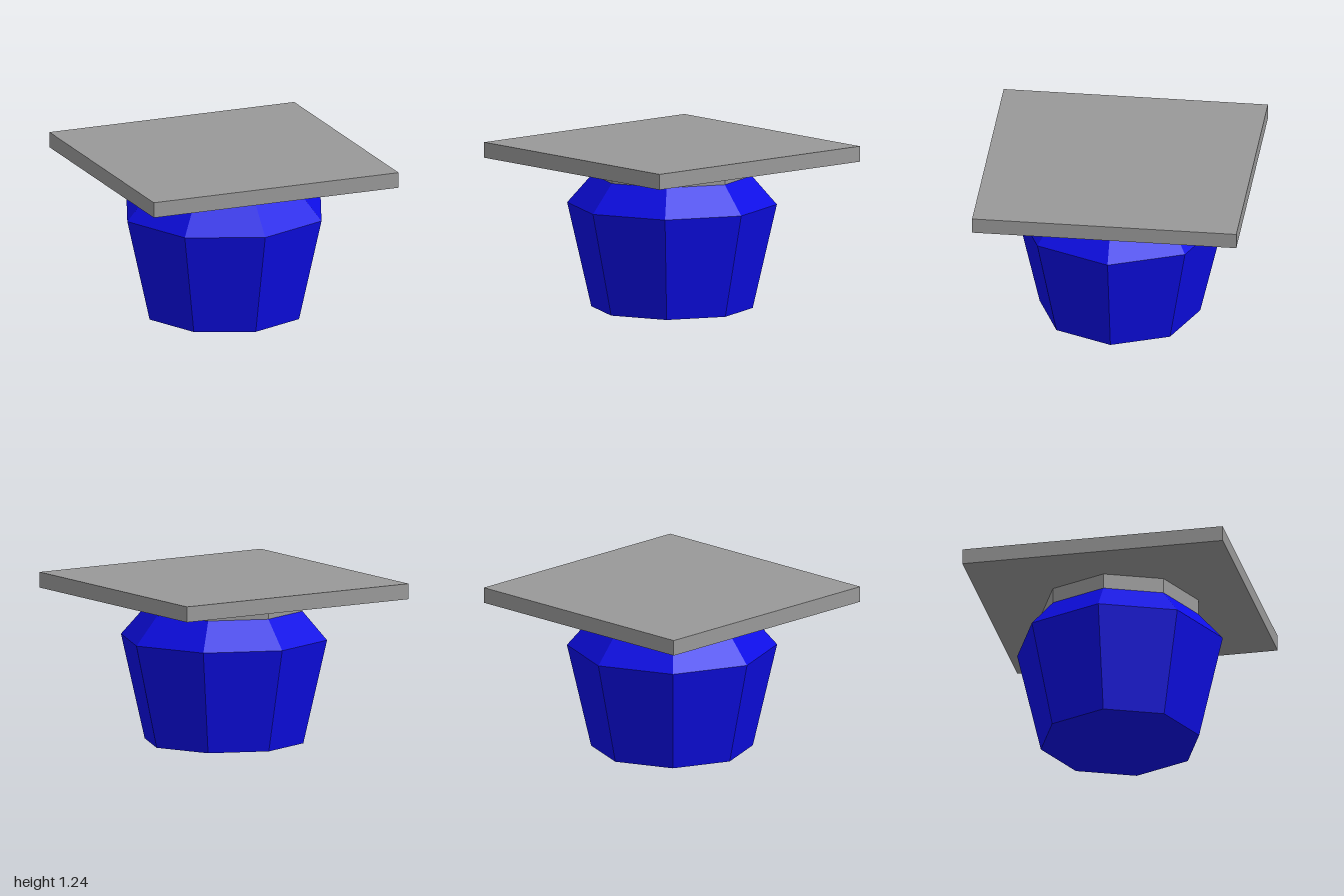
import * as THREE from 'three';

export function createModel() {
  const model = new THREE.Group();
  const blue = new THREE.MeshStandardMaterial({ color: 0x0e0ef0 });
  blue.name = 'blue glaze';
  const grey = new THREE.MeshStandardMaterial({ color: 0x999999 });
  grey.name = 'grey stone';

  const add = (name, geometry, material, y) => {
    const flat = geometry.index ? geometry.toNonIndexed() : geometry;
    flat.computeVertexNormals(); // crisp facets
    const mesh = new THREE.Mesh(flat, material);
    mesh.name = name;
    mesh.position.y = y;
    model.add(mesh);
  };

  // Octagonal ring section between two heights, with corners on the axes
  const section = (name, rBottom, rTop, y0, y1, material, open = false) =>
    add(name, new THREE.CylinderGeometry(rTop, rBottom, y1 - y0, 8, 1, open), material, (y0 + y1) / 2);

  // Pot body: closed base, tapering walls, sloping shoulder
  const profile = [[0, 0], [0.608, 0], [0.79, 0.79], [0.602, 1.005]];
  add('potBody', new THREE.LatheGeometry(profile.map(([r, y]) => new THREE.Vector2(r, y)), 8), blue, 0);

  // Neck and square slab lid
  section('neck', 0.602, 0.602, 1.005, 1.122, grey);
  add('lid', new THREE.BoxGeometry(2, 0.118, 2), grey, 1.181);

  return model;
}
